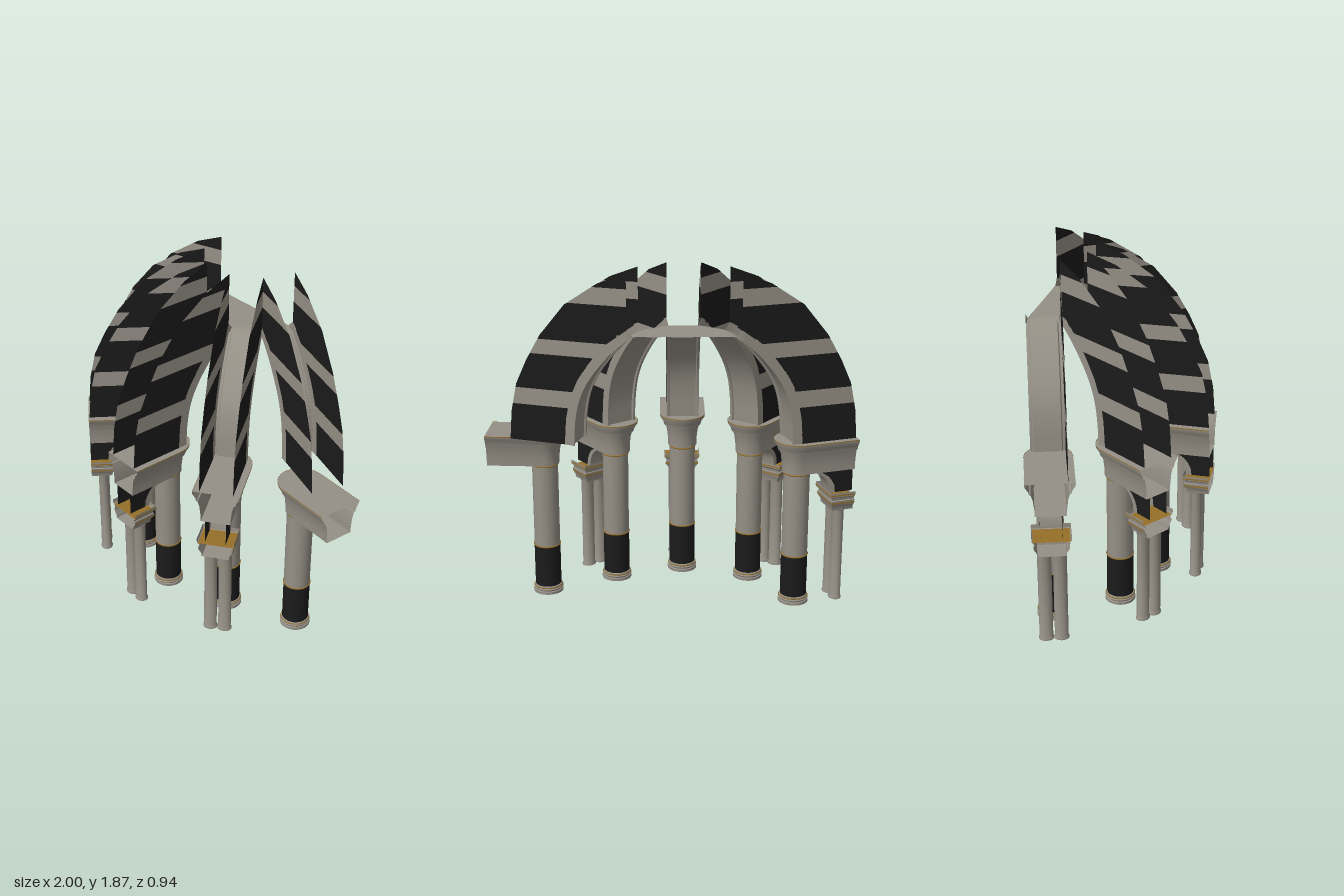
import * as THREE from 'three';
import { toCreasedNormals } from 'three/addons/utils/BufferGeometryUtils.js';

const material = (name, color) => {
  const m = new THREE.MeshStandardMaterial({ color, side: THREE.DoubleSide });
  m.name = name;
  return m;
};

// Surface through equal-length rows of [x, y, z] points
function loft(rows, crease = 0.6) {
  const n = rows[0].length, index = [];
  for (let i = 0; i < rows.length - 1; i++) {
    for (let j = 0; j < n - 1; j++) {
      const a = i * n + j, b = a + n;
      index.push(a, a + 1, b, b, a + 1, b + 1);
    }
  }
  const g = new THREE.BufferGeometry();
  g.setAttribute('position', new THREE.Float32BufferAttribute(rows.flat(2), 3));
  g.setIndex(index);
  return toCreasedNormals(g, crease);
}

// Linear lookup in a list of [key, value] pairs
function lookup(table, k) {
  for (let i = 1; i < table.length; i++) {
    const [k0, v0] = table[i - 1], [k1, v1] = table[i];
    if (k <= k1) return v0 + (v1 - v0) * Math.max(0, (k - k0) / (k1 - k0));
  }
  return table[table.length - 1][1];
}

const CENTRE_X = -0.065, CENTRE_Z = -0.47;
const COLUMN_R = 0.637, END_R = 0.94, HALF = 0.09, MEET_R = 0.277;

// Arch outlines as [height, distance from the centre]
const OUTER = [[0.94, 0.935], [1.1, 0.922], [1.25, 0.89], [1.38, 0.83], [1.52, 0.75],
  [1.69, 0.61], [1.81, 0.43], [1.87, MEET_R]];
const INNER = [[0.94, 0.625], [1.08, 0.615], [1.2, 0.59], [1.3, 0.545], [1.4, 0.475],
  [1.5, 0.385], [1.58, MEET_R]];
const BANDS = [0.94, 1.14, 1.23, 1.42, 1.5, 1.7, 1.79, 1.87];

// U-shaped outline, open at the outer end and round about the column
function roundPath(y, hw, flat = 1) {
  const pts = [[hw * flat, y, END_R]];
  for (let i = 0; i <= 16; i++) {
    const a = (i / 16) * Math.PI;
    pts.push([Math.cos(a) * hw * flat, y, COLUMN_R - Math.sin(a) * hw]);
  }
  pts.push([-hw * flat, y, END_R]);
  return pts;
}

// Squared U-shaped outline for the small capitals
function squarePath(y, hw, flat = 1) {
  const back = 0.875 - hw * 0.75, x = hw * flat;
  return [[x, y, END_R], [x, y, back], [-x, y, back], [-x, y, END_R]];
}

export function createModel() {
  const stone = material('stone', 0x959086);
  const black = material('black marble', 0x1b1b1b);
  const gold = material('gold trim', 0x96702a);

  const add = (parent, name, geometry, mat, x = 0, y = 0, z = 0) => {
    const mesh = new THREE.Mesh(geometry, mat);
    mesh.name = name;
    mesh.position.set(x, y, z);
    parent.add(mesh);
    return mesh;
  };
  const lathe = (pts, n = 24) =>
    toCreasedNormals(new THREE.LatheGeometry(pts.map(p => new THREE.Vector2(...p)), n), 0.6);

  // Column parts
  const baseGeo = lathe([[0, 0], [0.083, 0], [0.083, 0.014], [0.078, 0.018], [0.082, 0.026],
    [0.077, 0.034], [0.077, 0.042], [0.07, 0.046]]);
  const ringGeo = new THREE.TorusGeometry(0.072, 0.004, 6, 24).rotateX(Math.PI / 2);
  const lowerGeo = new THREE.CylinderGeometry(0.072, 0.072, 0.235, 24, 1, true);
  const upperGeo = new THREE.CylinderGeometry(0.071, 0.071, 0.48, 24, 1, true);

  // Moulded block: closed top and bottom, open outer end
  const blockLevels = [[0.76, 0.08], [0.8, 0.081], [0.85, 0.087], [0.88, 0.096],
    [0.882, 0.104], [0.9, 0.108], [0.925, 0.125], [0.94, 0.126]];
  const blockGeo = loft([roundPath(0.76, 0.08, 0), ...blockLevels.map(l => roundPath(...l)),
    roundPath(0.94, 0.126, 0)]);
  const blockTrimGeo = loft([roundPath(0.936, 0.127), roundPath(0.941, 0.127)]);

  // Small capital: closed bottom, gilded tray inside the rim
  const capitalLevels = [[0.53, 0.073], [0.55, 0.076], [0.57, 0.09], [0.59, 0.092],
    [0.592, 0.085], [0.605, 0.087], [0.615, 0.1], [0.64, 0.101]];
  const capitalGeo = loft([squarePath(0.53, 0.073, 0), ...capitalLevels.map(l => squarePath(...l))]);
  const trayGeo = loft([squarePath(0.612, 0.095), squarePath(0.612, 0.095, 0)]);
  const capitalTrimGeo = loft([squarePath(0.621, 0.102), squarePath(0.629, 0.102)]);
  const capitalLineGeo = loft([squarePath(0.574, 0.0935), squarePath(0.582, 0.0935)]);
  const colonnetteGeo = lathe([[0, 0], [0.036, 0], [0.036, 0.01], [0.032, 0.016],
    [0.032, 0.515], [0.034, 0.53]], 12).scale(1.12, 1, 0.95);

  // Column with a moulded block on top
  function addPier(bay) {
    const column = new THREE.Group();
    column.name = 'column';
    column.position.z = COLUMN_R;
    bay.add(column);
    add(column, 'columnBase', baseGeo, stone);
    add(column, 'columnLowerShaft', lowerGeo, black, 0, 0.1625, 0);
    add(column, 'columnUpperShaft', upperGeo, stone, 0, 0.52, 0);
    for (const y of [0.281, 0.752]) add(column, 'columnRing', ringGeo, gold, 0, y, 0);
    add(column, 'baseRing', ringGeo, gold, 0, 0.036, 0).scale.set(1.06, 0.8, 1.06);
    add(bay, 'pierBlock', blockGeo, stone);
    add(bay, 'pierBlockTrim', blockTrimGeo, gold);
  }

  // Paired colonnettes, their capital and the small half arch above
  const smallArch = [[0.63, 0.84], [0.67, 0.835], [0.7, 0.82], [0.725, 0.8], [0.745, 0.77], [0.76, 0.73]];
  const smallSoffitGeo = loft(smallArch.map(([y, r]) =>
    [[-0.056, y, r], [-0.056, y, r - 0.03], [0.056, y, r - 0.03], [0.056, y, r]]));
  function addButtress(bay) {
    for (const s of [-1, 1]) {
      add(bay, 'colonnette', colonnetteGeo, stone, s * 0.04, 0, 0.87);
      add(bay, 'smallArchSide',
        loft(smallArch.map(([y, r]) => [[s * 0.056, y, r], [s * 0.056, y, END_R]])), black);
    }
    add(bay, 'smallArchSoffit', smallSoffitGeo, stone);
    add(bay, 'smallCapital', capitalGeo, stone);
    add(bay, 'smallCapitalTray', trayGeo, gold);
    add(bay, 'smallCapitalTrim', capitalTrimGeo, gold);
    add(bay, 'smallCapitalLine', capitalLineGeo, gold);
  }

  // Striped thin walls either side of each rib
  function addWalls(bay) {
    const keys = [...OUTER, ...INNER].map(p => p[0]);
    for (const s of [-1, 1]) {
      for (let i = 0; i < BANDS.length - 1; i++) {
        const lo = BANDS[i], hi = BANDS[i + 1];
        const ys = [lo, ...keys.filter(k => k > lo && k < hi).sort((a, b) => a - b), hi];
        const rows = ys.map(y => [[s * HALF, y, lookup(INNER, y)], [s * HALF, y, lookup(OUTER, y)]]);
        add(bay, i % 2 ? 'wallLightBand' : 'wallDarkBand', loft(rows), i % 2 ? stone : black);
      }
    }
  }

  // Soffit hung below the walls; edge fillets stop where the ribs join in a smooth crown
  const section = [[-1, 0], [-1, 0.052], [-0.86, 0.052], [-0.8, 0.042], [0, 0.042],
    [0.8, 0.042], [0.86, 0.052], [1, 0.052], [1, 0]];
  const curve = new THREE.CatmullRomCurve3(
    [...INNER, [1.587, 0.14], [1.587, 0]].map(([y, r]) => new THREE.Vector3(0, y, r)));
  const soffitRows = [];
  for (let i = 0; i <= 40; i++) {
    const p = curve.getPoint(i / 40), t = curve.getTangent(i / 40);
    soffitRows.push(section.map(([u, depth]) => {
      const d = p.z < MEET_R - 0.005 ? 0.042 : depth;
      const r = Math.max(0, p.z - t.y * d);
      return [u * Math.min(HALF, r * Math.tan(Math.PI / 10)), p.y + t.z * d, r];
    }));
  }
  const soffitGeo = loft(soffitRows);

  const model = new THREE.Group();
  model.name = 'ribbedApse';
  const addBay = (name, angle, x, z) => {
    const bay = new THREE.Group();
    bay.name = name;
    bay.rotation.y = angle;
    bay.position.set(x, 0, z);
    model.add(bay);
    return bay;
  };

  // Five ribs fan out over half a circle; the last one has a detached pier
  for (let i = -2; i <= 2; i++) {
    const bay = addBay('bay', i * Math.PI / 5, CENTRE_X, CENTRE_Z);
    addWalls(bay);
    add(bay, 'ribSoffit', soffitGeo, stone);
    if (i < 2) {
      addPier(bay);
      addButtress(bay);
    }
  }
  const turn = 1.51;
  addPier(addBay('detachedPier', turn,
    0.687 - COLUMN_R * Math.sin(turn), -0.13 - COLUMN_R * Math.cos(turn)));
  return model;
}
